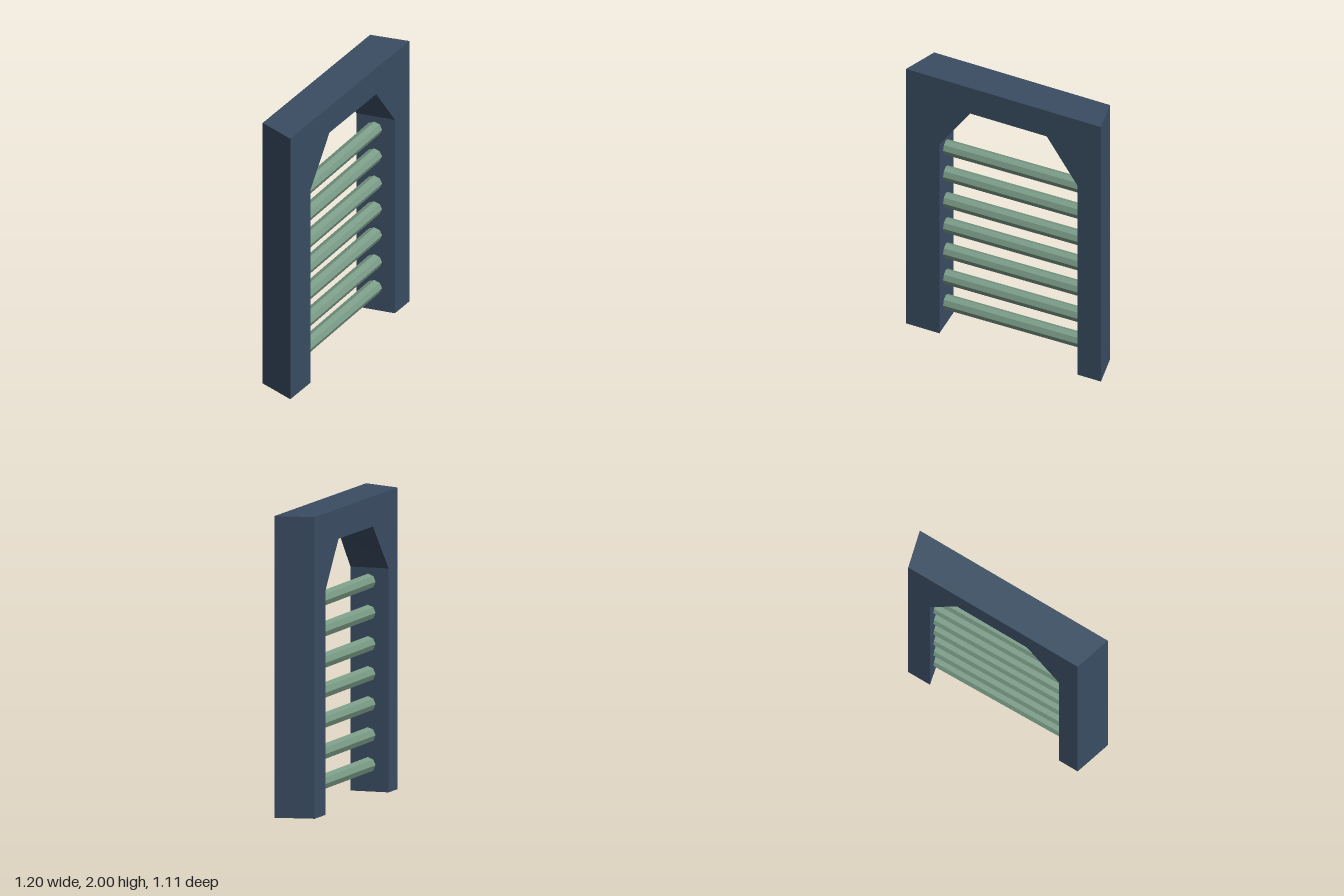
import * as THREE from 'three';

// Depth of the two slanted faces at a given x
const frontZ = x => 0.555 - (x + 0.48) * 0.8935;
const backZ = x => 0.315 - (x + 0.6) * 0.892;

// Arched frame: a four-cornered section swept up one leg, across and down the other
function frameGeometry() {
  // [outer front x, outer back x, outer y, inner front x, inner back x, inner y]
  const stations = [
    [-0.48, -0.6, 0, -0.295, -0.493, 0],
    [-0.48, -0.6, 1.485, -0.295, -0.493, 1.485],
    [-0.48, -0.6, 2, -0.125, -0.309, 1.8],
    [0.6, 0.375, 2, 0.3, 0.095, 1.8],
    [0.6, 0.375, 1.485, 0.47, 0.25, 1.485],
    [0.6, 0.375, 0, 0.47, 0.25, 0],
  ];
  const rings = stations.map(([of, ob, oy, inf, inb, iy]) => [
    [of, oy, frontZ(of)],
    [ob, oy, backZ(ob)],
    [inb, iy, backZ(inb)],
    [inf, iy, frontZ(inf)],
  ]);
  const positions = [];
  const quad = (a, b, c, d) => positions.push(...a, ...b, ...c, ...a, ...c, ...d);
  for (let i = 0; i < rings.length - 1; i++) {
    const a = rings[i], b = rings[i + 1];
    for (let j = 0; j < 4; j++) {
      const k = (j + 1) % 4;
      quad(a[j], b[j], b[k], a[k]);
    }
  }
  // feet
  quad(...rings[0]);
  quad(...[...rings[rings.length - 1]].reverse());
  const geometry = new THREE.BufferGeometry();
  geometry.setAttribute('position', new THREE.Float32BufferAttribute(positions, 3));
  geometry.computeVertexNormals();
  return geometry;
}

export function createModel() {
  const slate = new THREE.MeshStandardMaterial({ color: 0x3a4d63 });
  slate.name = 'slateBlue';
  slate.flatShading = true;
  const sage = new THREE.MeshStandardMaterial({ color: 0x7a9b86 });
  sage.name = 'sageGreen';
  sage.flatShading = true;

  const model = new THREE.Group();
  model.name = 'barredArch';

  const frame = new THREE.Mesh(frameGeometry(), slate);
  frame.name = 'archFrame';
  model.add(frame);

  // Octagonal rungs, their ends sunk into the legs
  const left = new THREE.Vector3(-0.386, 0, 0.312);
  const right = new THREE.Vector3(0.353, 0, -0.374);
  const along = right.clone().sub(left);
  const rungGeometry = new THREE.CylinderGeometry(0.052, 0.052, along.length() + 0.11, 8);
  rungGeometry.rotateZ(-Math.PI / 2);
  const rungs = new THREE.Group();
  rungs.name = 'rungs';
  [0.176, 0.374, 0.58, 0.78, 0.978, 1.186, 1.392].forEach((y, i) => {
    const rung = new THREE.Mesh(rungGeometry, sage);
    rung.name = `rung${i + 1}`;
    rung.position.copy(left).add(right).multiplyScalar(0.5).setY(y);
    rung.rotation.y = Math.atan2(-along.z, along.x);
    rungs.add(rung);
  });
  model.add(rungs);

  return model;
}
